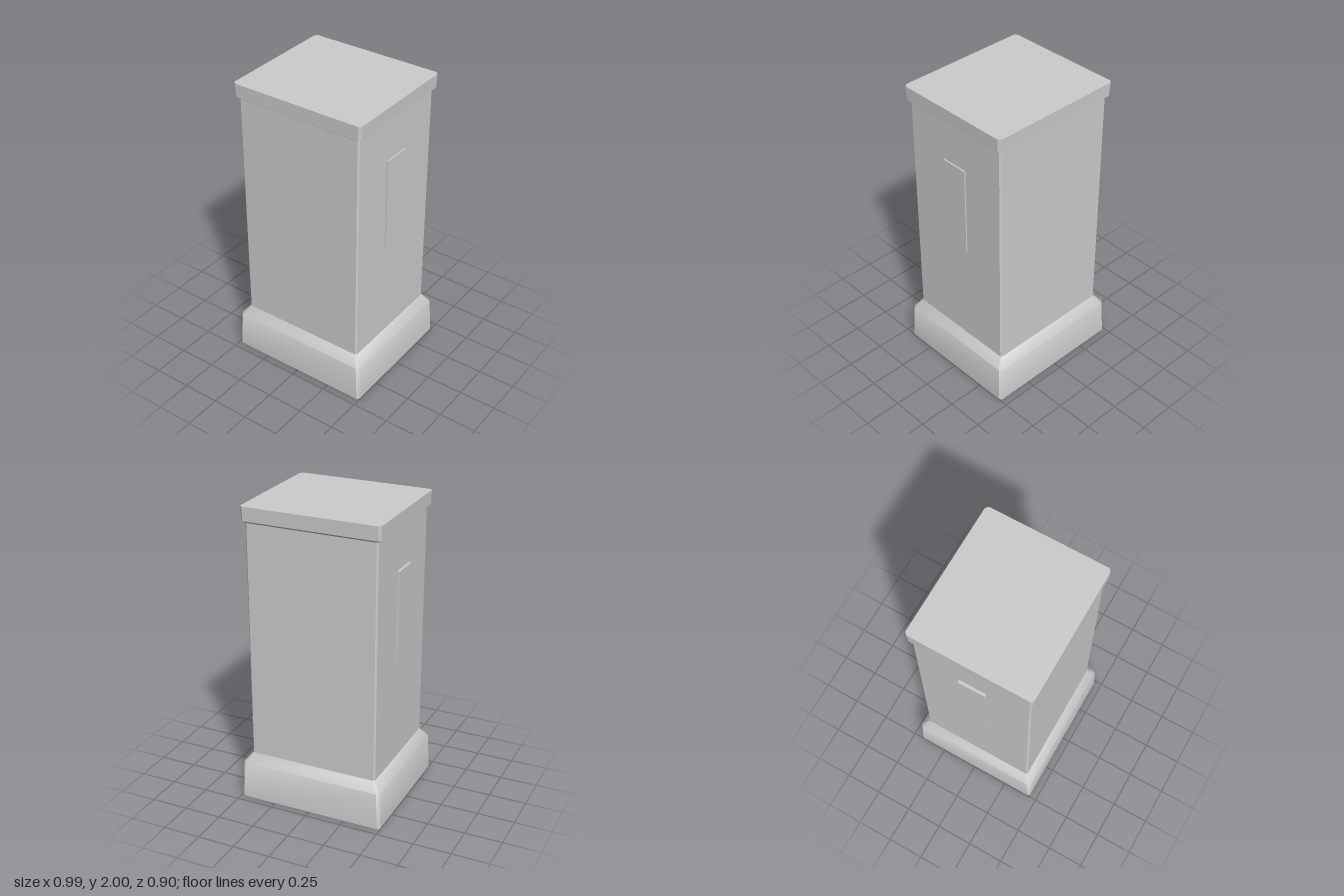
import * as THREE from 'three';
import { toCreasedNormals } from 'three/addons/utils/BufferGeometryUtils.js';

const material = new THREE.MeshStandardMaterial({ color: 0xcccccc });

// Chamfered rectangle, corners running counter-clockwise seen from above
function ring([y, hx, hz, c]) {
  return [
    [hx, hz - c], [hx, -hz + c], [hx - c, -hz], [-hx + c, -hz],
    [-hx, -hz + c], [-hx, hz - c], [-hx + c, hz], [hx - c, hz],
  ].map(([x, z]) => [x, y, z]);
}

// Closed solid through sections [y, halfWidth, halfDepth, cornerChamfer], bottom to top
function loft(name, sections) {
  const points = sections.map(ring);
  const n = points[0].length;
  const index = [];
  for (let s = 0; s < sections.length - 1; s++) {
    for (let i = 0; i < n; i++) {
      const a = s * n + i, b = s * n + (i + 1) % n;
      index.push(a, b, b + n, a, b + n, a + n);
    }
  }
  const top = (sections.length - 1) * n;
  for (let i = 1; i < n - 1; i++) {
    index.push(0, i + 1, i, top, top + i, top + i + 1);
  }
  const geometry = new THREE.BufferGeometry();
  geometry.setAttribute('position', new THREE.Float32BufferAttribute(points.flat(2), 3));
  geometry.setIndex(index);
  const mesh = new THREE.Mesh(toCreasedNormals(geometry, 0.74), material);
  mesh.name = name;
  return mesh;
}

export function createModel() {
  const group = new THREE.Group();
  group.name = 'pedestal';

  // Plinth with tapered sides and a sloped shoulder
  group.add(loft('base', [
    [0, 0.497, 0.448, 0.015],
    [0.25, 0.488, 0.44, 0.02],
    [0.313, 0.438, 0.393, 0.012],
  ]));

  // Tall plain column
  group.add(loft('shaft', [
    [0.3, 0.437, 0.391, 0.01],
    [1.92, 0.437, 0.391, 0.01],
  ]));

  // Overhanging slab with a bevelled underside
  group.add(loft('cap', [
    [1.893, 0.437, 0.391, 0.01],
    [1.908, 0.46, 0.411, 0.018],
    [2, 0.463, 0.414, 0.018],
  ]));

  // Thin upright plates on both sides
  for (const [side, x, name] of [[1, 0.447, 'leftPlate'], [-1, 0.455, 'rightPlate']]) {
    const thickness = x - 0.432;
    const plate = new THREE.Mesh(new THREE.BoxGeometry(thickness, 0.615, 0.185), material);
    plate.position.set(side * (x - thickness / 2), 1.312, 0.003);
    plate.name = name;
    group.add(plate);
  }

  return group;
}
